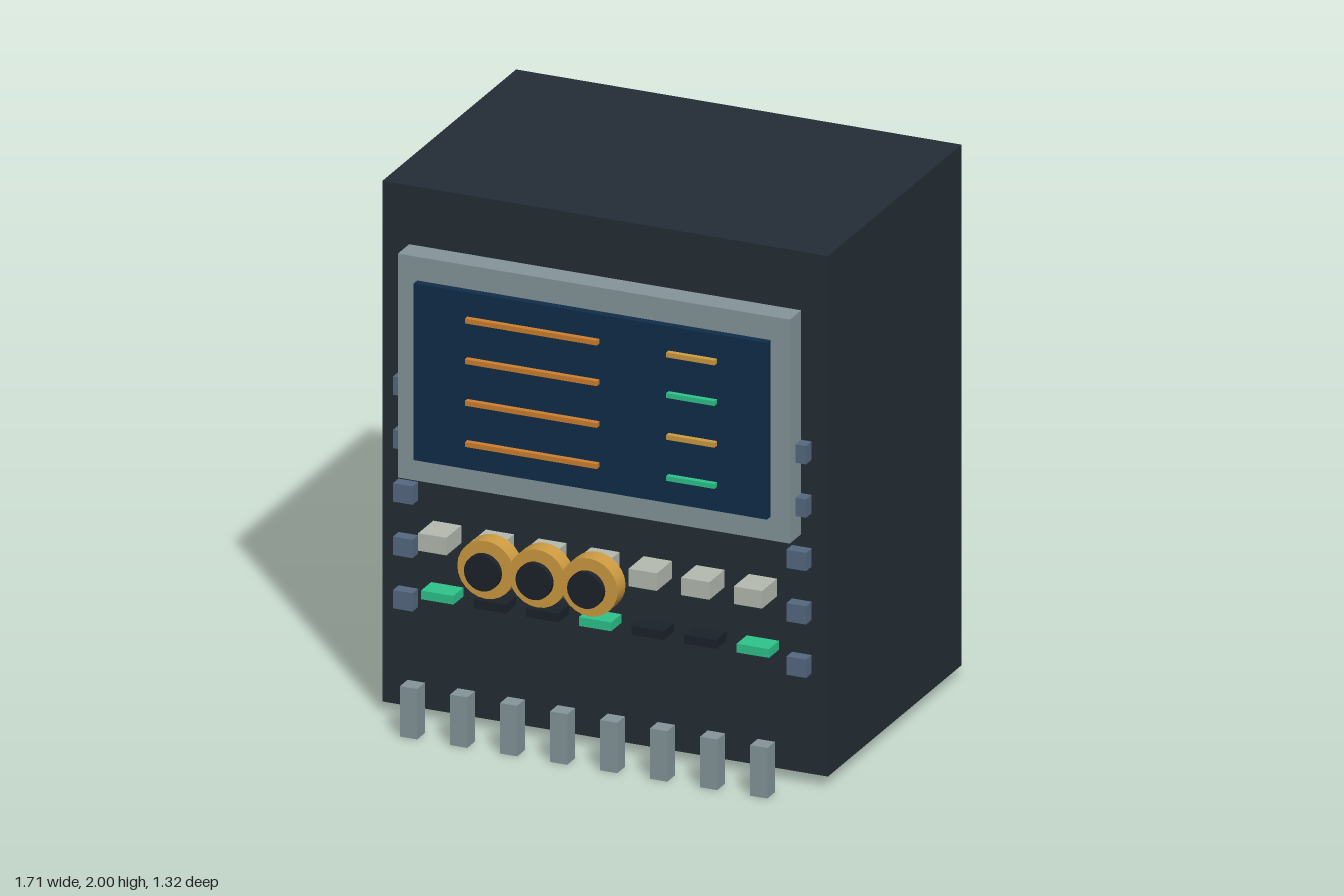
import * as THREE from 'three';

const mat = (name, color) => {
  const m = new THREE.MeshStandardMaterial({ color });
  m.name = name;
  return m;
};

export function createModel() {
  const model = new THREE.Group();
  const charcoal = mat('charcoal', 0x242e36);
  const steel = mat('steel grey', 0x86969b);
  const navy = mat('screen navy', 0x0f2d4b);
  const orange = mat('orange', 0xd0812f);
  const gold = mat('gold', 0xcf9c42);
  const green = mat('green', 0x2dc48c);
  const slate = mat('slate blue', 0x566981);
  const ivory = mat('pale grey', 0xb5bbb1);
  const black = mat('near black', 0x1b2229);

  // Box given by its x and y centre, width, height and z range
  const box = (name, material, x, y, w, h, z0, z1) => {
    const mesh = new THREE.Mesh(new THREE.BoxGeometry(w, h, z1 - z0), material);
    mesh.position.set(x, y, (z0 + z1) / 2);
    mesh.name = name;
    model.add(mesh);
  };

  // Cylinder facing the front
  const disc = (name, material, x, y, r, z0, z1) => {
    const geo = new THREE.CylinderGeometry(r, r, z1 - z0, 24).rotateX(Math.PI / 2);
    const mesh = new THREE.Mesh(geo, material);
    mesh.position.set(x, y, (z0 + z1) / 2);
    mesh.name = name;
    model.add(mesh);
  };

  // Cabinet and display
  box('cabinet', charcoal, 0, 1.02, 1.705, 1.96, -0.66, 0.477);
  box('displayFrame', steel, 0, 1.357, 1.5, 0.843, 0.47, 0.573);
  box('screen', navy, 0, 1.357, 1.352, 0.665, 0.565, 0.603);

  // Rows of display bars
  [1.59, 1.437, 1.28, 1.125].forEach((y, i) => {
    box('longBar', orange, -0.218, y, 0.505, 0.018, 0.602, 0.624);
    box('shortBar', i % 2 ? green : gold, 0.392, y, 0.185, 0.018, 0.602, 0.624);
  });

  // Side keys
  for (const side of [-1, 1]) {
    for (let i = 0; i < 5; i++) {
      box('sideKey', slate, side * 0.753, 0.453 + i * 0.201, 0.075, 0.069, 0.47, 0.525);
    }
  }

  // Buttons with an indicator under each
  for (let i = 0; i < 7; i++) {
    const x = (i - 3) * 0.2013;
    box('button', ivory, x, 0.72, 0.108, 0.066, 0.47, 0.605);
    box('indicator', i % 3 ? black : green, x, 0.504, 0.124, 0.033, 0.47, 0.563);
  }

  // Dials with dark caps
  for (let i = 0; i < 3; i++) {
    const x = -0.395 + i * 0.1975;
    disc('dial', gold, x, 0.662, 0.109, 0.545, 0.615);
    disc('dialCap', black, x, 0.662, 0.068, 0.627, 0.65);
  }

  // Row of pins along the bottom
  for (let i = 0; i < 8; i++) {
    box('pin', steel, (i - 3.5) * 0.1914, 0.095, 0.066, 0.19, 0.595, 0.66);
  }
  return model;
}
